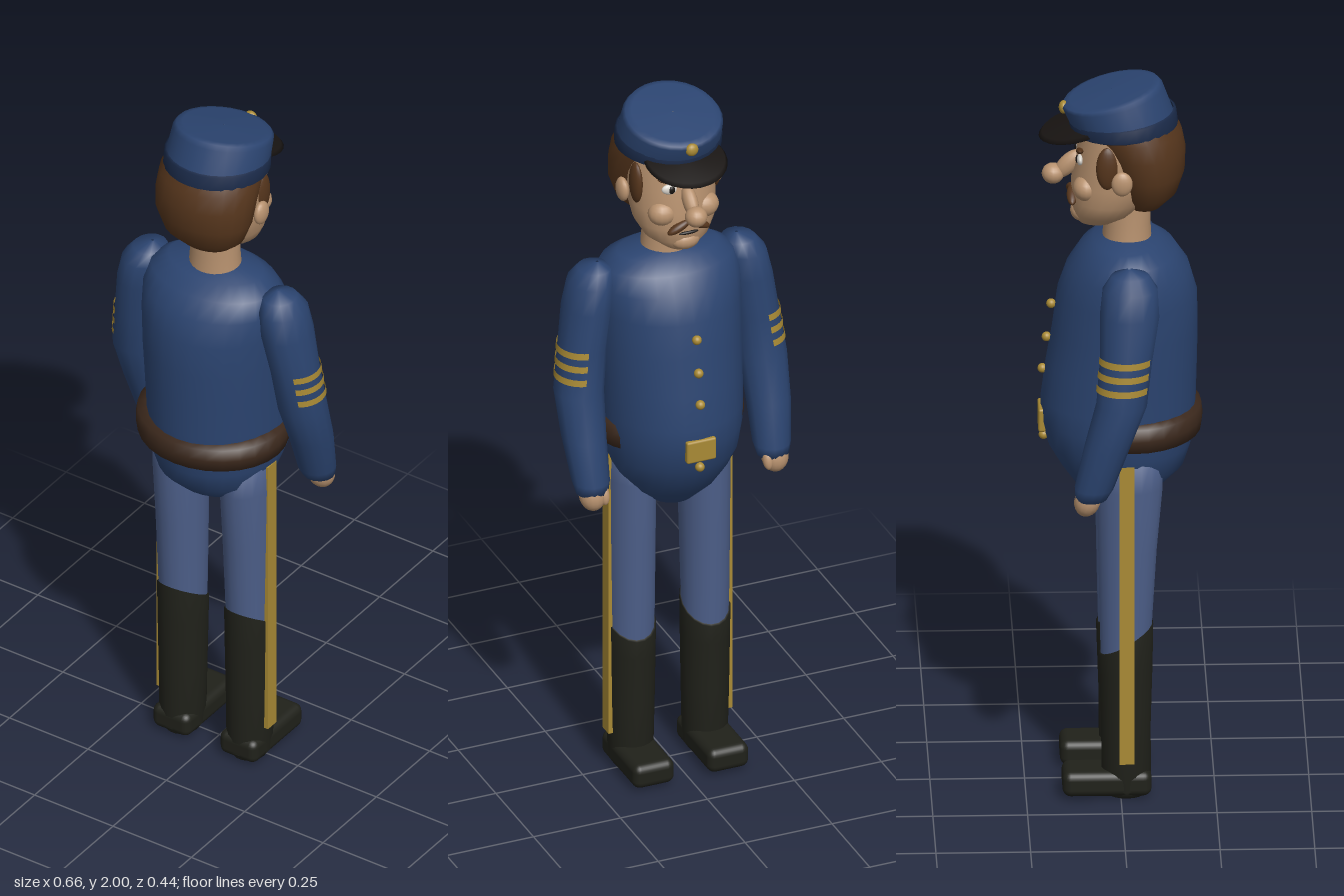
import * as THREE from 'three';
import { RoundedBoxGeometry } from 'three/addons/geometries/RoundedBoxGeometry.js';

const mat = (color) => new THREE.MeshStandardMaterial({ color, side: THREE.DoubleSide });
const COAT = mat(0x2b4470), BAND = mat(0x1b2b4a), TROUSER = mat(0x4c5e88), BOOT = mat(0x20211a);
const SKIN = mat(0xb8926f), HAIR = mat(0x55351c), BELT = mat(0x3b281c), GOLD = mat(0xa98a35);
const BLACK = mat(0x181412), WHITE = mat(0xd8d4cc);

// Elliptical rings [y, cx, cz, rx, rz, tilt] from bottom to top; tilt raises the back edge
function loft(name, rings, material, n = 24, start = 0, arc = Math.PI * 2) {
  const full = arc > 6.28, cols = full ? n : n + 1, pos = [], idx = [];
  for (const [y, cx, cz, rx, rz, tilt = 0] of rings) {
    for (let i = 0; i < cols; i++) {
      const a = start + (arc * i) / n, dz = rz * Math.sin(a);
      pos.push(cx + rx * Math.cos(a), y + tilt * dz, cz + dz);
    }
  }
  for (let r = 0; r < rings.length - 1; r++) {
    for (let i = 0; i < n; i++) {
      const a = r * cols + i, b = r * cols + ((i + 1) % cols);
      idx.push(a, a + cols, b, b, a + cols, b + cols);
    }
  }
  const g = new THREE.BufferGeometry();
  g.setAttribute('position', new THREE.Float32BufferAttribute(pos, 3));
  g.setIndex(idx);
  g.computeVertexNormals();
  return part(name, g, material);
}

function part(name, geometry, material, x = 0, y = 0, z = 0) {
  const m = new THREE.Mesh(geometry, material);
  m.name = name;
  m.position.set(x, y, z);
  return m;
}

function ball(name, material, [x, y, z], [rx, ry, rz], rotX = 0, rotZ = 0) {
  const m = part(name, new THREE.SphereGeometry(1, 16, 12), material, x, y, z);
  m.scale.set(rx, ry, rz);
  m.rotation.set(rotX, 0, rotZ);
  return m;
}

// Figure looks towards -z
function makeTorso() {
  const g = new THREE.Group();
  g.name = 'torso';
  // y, back z, front z, half width
  const profile = [
    [0.79, -0.01, -0.02, 0.005], [0.81, 0.05, -0.07, 0.06], [0.86, 0.12, -0.12, 0.125],
    [0.91, 0.17, -0.155, 0.16], [0.97, 0.19, -0.19, 0.18], [1.04, 0.2, -0.207, 0.188],
    [1.1, 0.202, -0.208, 0.19], [1.2, 0.205, -0.195, 0.193], [1.3, 0.207, -0.178, 0.197],
    [1.4, 0.205, -0.165, 0.2], [1.47, 0.185, -0.14, 0.2], [1.52, 0.15, -0.105, 0.185],
    [1.55, 0.105, -0.07, 0.14], [1.563, 0.06, -0.03, 0.06],
  ];
  g.add(loft('coat', profile.map(([y, b, f, w]) => [y, 0, (b + f) / 2, w, (b - f) / 2]), COAT, 28));
  g.add(loft('belt', [
    [1.005, 0, 0.03, 0.18, 0.16], [1.012, 0, 0.03, 0.207, 0.186], [1.045, 0, 0.03, 0.212, 0.19],
    [1.078, 0, 0.03, 0.207, 0.186], [1.085, 0, 0.03, 0.18, 0.16],
  ], BELT, 28));
  for (const [y, z] of [[1.36, -0.18], [1.265, -0.192], [1.175, -0.203], [0.985, -0.2]])
    g.add(ball('button', GOLD, [0, y, z], [0.013, 0.013, 0.013]));
  g.add(part('buckle', new RoundedBoxGeometry(0.085, 0.065, 0.02, 2, 0.006), GOLD, 0, 1.04, -0.205));
  return g;
}

function makeHead() {
  const g = new THREE.Group();
  g.name = 'head';
  g.add(loft('neck', [[1.53, 0, 0.02, 0.074, 0.066], [1.6, 0, 0.02, 0.068, 0.062], [1.68, 0, 0.02, 0.07, 0.065]], SKIN));
  g.add(loft('face', [
    [1.59, 0, -0.06, 0.005, 0.005], [1.6, 0, -0.058, 0.045, 0.05], [1.63, 0, -0.04, 0.088, 0.083],
    [1.67, 0, -0.025, 0.11, 0.103], [1.72, 0, -0.01, 0.118, 0.118], [1.78, 0, 0, 0.12, 0.116],
    [1.84, 0, 0, 0.12, 0.108], [1.9, 0, 0, 0.11, 0.1],
  ], SKIN));
  g.add(loft('hair', [
    [1.64, 0, 0.065, 0.005, 0.005], [1.65, 0, 0.065, 0.075, 0.05], [1.69, 0, 0.073, 0.118, 0.08],
    [1.75, 0, 0.072, 0.14, 0.101], [1.81, 0, 0.06, 0.144, 0.115], [1.86, 0, 0.04, 0.142, 0.125],
    [1.9, 0, 0.02, 0.13, 0.12],
  ], HAIR));
  g.add(ball('noseBridge', SKIN, [0, 1.76, -0.135], [0.02, 0.05, 0.025], 0.75));
  g.add(ball('noseTip', SKIN, [0, 1.733, -0.175], [0.03, 0.028, 0.03]));
  g.add(ball('chin', SKIN, [0, 1.628, -0.1], [0.042, 0.028, 0.03]));
  g.add(ball('mouth', BLACK, [0, 1.66, -0.126], [0.028, 0.005, 0.006]));
  for (const s of [-1, 1]) {
    g.add(ball('ear', SKIN, [s * 0.135, 1.755, 0.003], [0.016, 0.034, 0.028]));
    g.add(ball('sideburn', HAIR, [s * 0.112, 1.79, -0.035], [0.016, 0.06, 0.03]));
    g.add(ball('cheek', SKIN, [s * 0.06, 1.715, -0.09], [0.04, 0.035, 0.035]));
    g.add(ball('eye', WHITE, [s * 0.045, 1.79, -0.105], [0.024, 0.015, 0.009], 0, s * 0.15));
    g.add(ball('pupil', BLACK, [s * 0.042, 1.79, -0.112], [0.009, 0.011, 0.005]));
    g.add(ball('eyebrow', HAIR, [s * 0.048, 1.816, -0.106], [0.034, 0.008, 0.01], 0, s * 0.3));
    g.add(ball('moustache', HAIR, [s * 0.028, 1.682, -0.126], [0.036, 0.012, 0.014], 0, -s * 0.45));
  }
  return g;
}

function makeCap() {
  const g = new THREE.Group();
  g.name = 'cap';
  g.add(loft('capBand', [[1.868, 0, 0.012, 0.138, 0.138, 0.05], [1.872, 0, 0.012, 0.143, 0.143, 0.05],
    [1.905, 0, 0.008, 0.142, 0.142, 0.09], [1.908, 0, 0.008, 0.135, 0.135, 0.09]], BAND, 28));
  g.add(loft('capCrown', [
    [1.89, 0, 0.008, 0.139, 0.139, 0.07], [1.955, 0, -0.018, 0.134, 0.134, 0.22],
    [1.965, 0, -0.021, 0.126, 0.126, 0.25], [1.969, 0, -0.021, 0.11, 0.11, 0.25],
    [1.972, 0, -0.021, 0.002, 0.002, 0.25],
  ], COAT, 28));
  g.add(loft('visor', [
    [1.862, 0, -0.105, 0.002, 0.002, 0.25], [1.862, 0, -0.105, 0.1, 0.1, 0.25],
    [1.869, 0, -0.105, 0.112, 0.108, 0.25], [1.878, 0, -0.105, 0.105, 0.1, 0.25],
    [1.882, 0, -0.105, 0.002, 0.002, 0.25],
  ], BLACK, 28));
  g.add(ball('capBadge', GOLD, [0, 1.922, -0.147], [0.018, 0.018, 0.013]));
  return g;
}

function makeArm(s) {
  const g = new THREE.Group();
  g.name = s > 0 ? 'armPlusX' : 'armMinusX';
  const sleeve = [
    [0.905, 0.26, -0.085, 0.004, 0.004], [0.91, 0.26, -0.083, 0.044, 0.042], [0.94, 0.26, -0.075, 0.051, 0.052],
    [1.06, 0.265, -0.04, 0.06, 0.061], [1.18, 0.263, -0.002, 0.067, 0.068], [1.3, 0.248, 0.01, 0.065, 0.07],
    [1.42, 0.23, 0.02, 0.066, 0.08], [1.49, 0.218, 0.022, 0.062, 0.074], [1.525, 0.207, 0.022, 0.045, 0.05],
    [1.54, 0.2, 0.02, 0.004, 0.004],
  ];
  g.add(loft('sleeve', sleeve.map(([y, x, ...r]) => [y, s * x, ...r]), COAT, 14));
  // Rank stripes wrap the outer half of the sleeve
  const start = s > 0 ? -1.4 : Math.PI - 1.0;
  for (const y of [1.305, 1.268, 1.23]) {
    const ring = (h) => [h, s * (0.248 + (1.3 - h) * 0.125), 0.01 - (1.3 - h) * 0.1, 0.069, 0.073];
    g.add(loft('sleeveStripe', [ring(y - 0.009), ring(y + 0.009)], GOLD, 14, start, 2.4));
  }
  g.add(ball('hand', SKIN, [s * 0.262, 0.905, -0.092], [0.037, 0.045, 0.035], 0.3));
  g.add(ball('thumb', SKIN, [s * 0.235, 0.905, -0.108], [0.014, 0.028, 0.015], 0.3));
  return g;
}

function makeLeg(s) {
  const g = new THREE.Group(), x = s * 0.107;
  g.name = s > 0 ? 'legPlusX' : 'legMinusX';
  g.add(loft('trouserLeg', [
    [0.38, x, 0.013, 0.062, 0.066], [0.5, x, 0.014, 0.064, 0.07], [0.7, x, 0.018, 0.067, 0.078],
    [0.88, x, 0.024, 0.069, 0.088], [0.97, x, 0.025, 0.065, 0.085], [0.99, x, 0.025, 0.005, 0.005],
  ], TROUSER, 18));
  // Boot shaft with its top edge sloping down to the front
  g.add(loft('boot', [
    [0, x, 0.015, 0.004, 0.004], [0.002, x, 0.015, 0.045, 0.05], [0.025, x, 0.015, 0.06, 0.066],
    [0.2, x, 0.014, 0.064, 0.066], [0.36, x, 0.014, 0.066, 0.071, 0.2],
    [0.445, x, 0.014, 0.067, 0.073, 0.6], [0.446, x, 0.014, 0.06, 0.066, 0.6],
  ], BOOT, 18));
  g.add(part('shoe', new RoundedBoxGeometry(0.118, 0.07, 0.235, 3, 0.022), BOOT, x, 0.044, -0.037));
  g.add(part('legStripe', new THREE.BoxGeometry(0.016, 0.85, 0.04), GOLD, s * 0.17, 0.535, 0.015));
  return g;
}

export function createModel() {
  const model = new THREE.Group();
  model.name = 'uniformedMan';
  model.add(makeTorso(), makeHead(), makeCap());
  for (const s of [-1, 1]) model.add(makeArm(s), makeLeg(s));
  return model;
}
